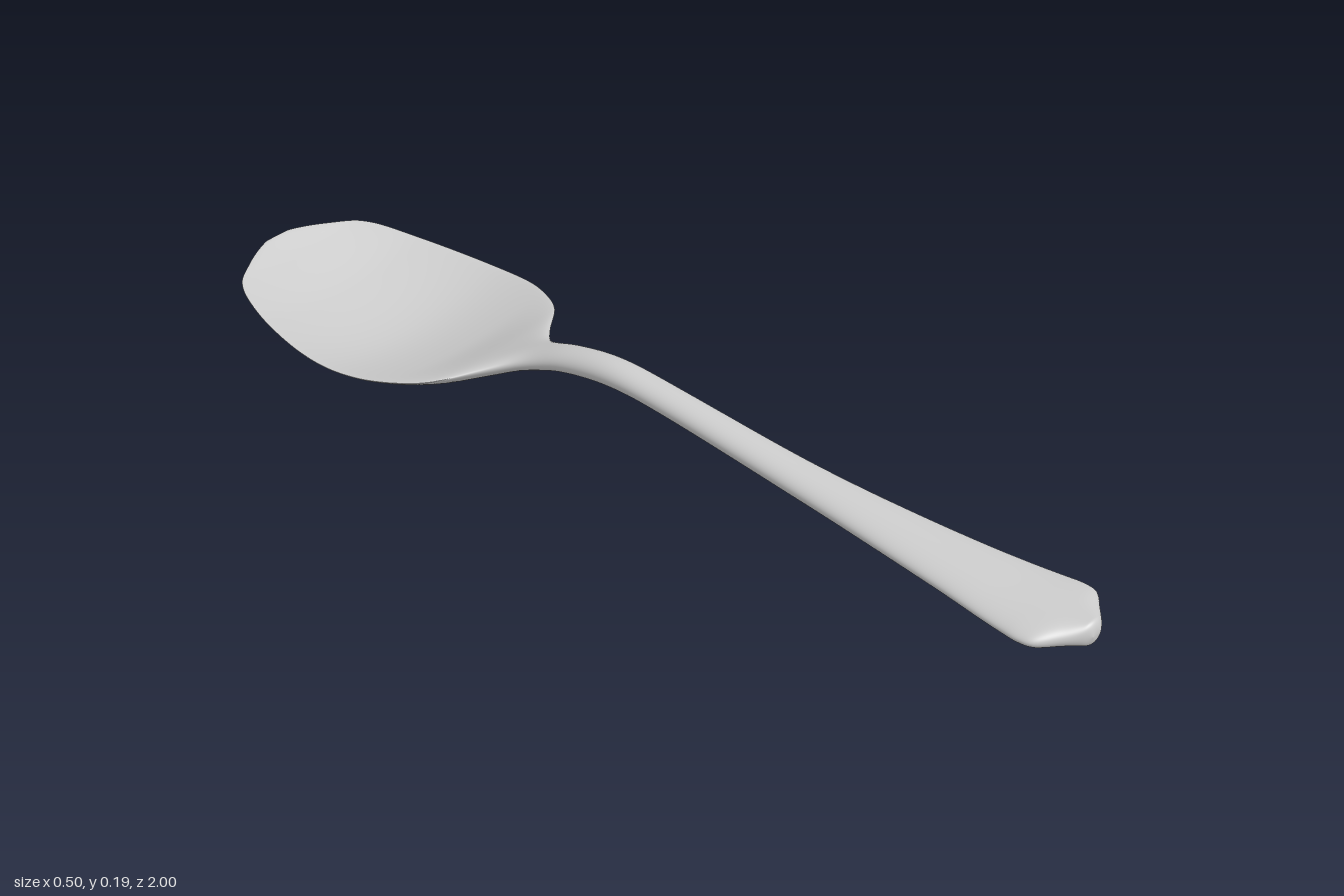
import * as THREE from 'three';

// Outline seen from above: z, half width
const OUTLINE = [
  [-1, 0.03], [-0.985, 0.07], [-0.965, 0.11], [-0.93, 0.165], [-0.87, 0.2], [-0.75, 0.234],
  [-0.63, 0.25], [-0.53, 0.244], [-0.46, 0.22], [-0.4, 0.18], [-0.345, 0.105], [-0.3, 0.058],
  [-0.25, 0.042], [-0.15, 0.036], [0.1, 0.036], [0.4, 0.047], [0.7, 0.076], [0.87, 0.101],
  [0.905, 0.105], [0.935, 0.098], [0.965, 0.062], [0.99, 0.03], [1, 0.012],
];

// Side profile: z, rim height, centre top, centre bottom
const PROFILE = [
  [-1, 0.122, 0.127, 0.11], [-0.93, 0.113, 0.1, 0.07], [-0.8, 0.092, 0.06, 0.024],
  [-0.63, 0.08, 0.037, 0], [-0.48, 0.089, 0.062, 0.023], [-0.36, 0.103, 0.112, 0.064],
  [-0.28, 0.121, 0.144, 0.097], [-0.2, 0.146, 0.171, 0.122], [-0.1, 0.161, 0.187, 0.136],
  [0, 0.158, 0.182, 0.134], [0.4, 0.11, 0.135, 0.085], [0.8, 0.078, 0.103, 0.053],
  [1, 0.073, 0.098, 0.048],
];

// Smooth cubic interpolation of a table at z; returns the columns after z
function sample(table, z) {
  const last = table.length - 1;
  let i = 0;
  while (i < last - 1 && z > table[i + 1][0]) i++;
  const p = table[i], q = table[i + 1];
  const before = table[Math.max(i - 1, 0)], after = table[Math.min(i + 2, last)];
  const dz = q[0] - p[0], t = (z - p[0]) / dz, t2 = t * t, t3 = t2 * t;
  return p.slice(1).map((a, c) => {
    const k = c + 1;
    const m0 = (q[k] - before[k]) / (q[0] - before[0]) * dz;
    const m1 = (after[k] - a) / (after[0] - p[0]) * dz;
    return (2 * t3 - 3 * t2 + 1) * a + (t3 - 2 * t2 + t) * m0
      + (3 * t2 - 2 * t3) * q[k] + (t3 - t2) * m1;
  });
}

// Cross-sections blend from a thin-lipped parabolic dish to an elliptical handle
function spoonGeometry(sides = 64, steps = 200) {
  const positions = [], index = [];
  const endRadius = 0.012;
  for (let i = 0; i <= steps; i++) {
    const z = -Math.cos(i / steps * Math.PI);
    const [width] = sample(OUTLINE, z);
    const [rim, top, bottom] = sample(PROFILE, z);
    const handle = THREE.MathUtils.smoothstep(z, -0.42, -0.29);
    const lip = THREE.MathUtils.lerp(0.008, (top - bottom) / 2, handle);
    // Both ends round off to a closed edge
    const e = Math.max(0, (Math.abs(z) - 1 + endRadius) / endRadius);
    const round = Math.sqrt(Math.max(0, 1 - e * e));
    for (let j = 0; j < sides; j++) {
      const a = j / sides * Math.PI * 2, s = Math.sin(a);
      const centre = s >= 0 ? top - lip - rim : bottom + lip - rim;
      positions.push(width * Math.cos(a), rim + round * (lip * s + centre * s * s), z);
      if (i < steps) {
        const m = i * sides + j, n = i * sides + (j + 1) % sides;
        index.push(m, n, m + sides, n, n + sides, m + sides);
      }
    }
  }
  const geometry = new THREE.BufferGeometry();
  geometry.setAttribute('position', new THREE.Float32BufferAttribute(positions, 3));
  geometry.setIndex(index);
  geometry.computeVertexNormals();
  return geometry;
}

export function createModel() {
  const group = new THREE.Group();
  group.name = 'spoon';
  // Bowl, neck and handle flow together as one continuous body
  const body = new THREE.Mesh(spoonGeometry(), new THREE.MeshStandardMaterial({ color: 0xcccccc }));
  body.name = 'bowlAndHandle';
  group.add(body);
  return group;
}
